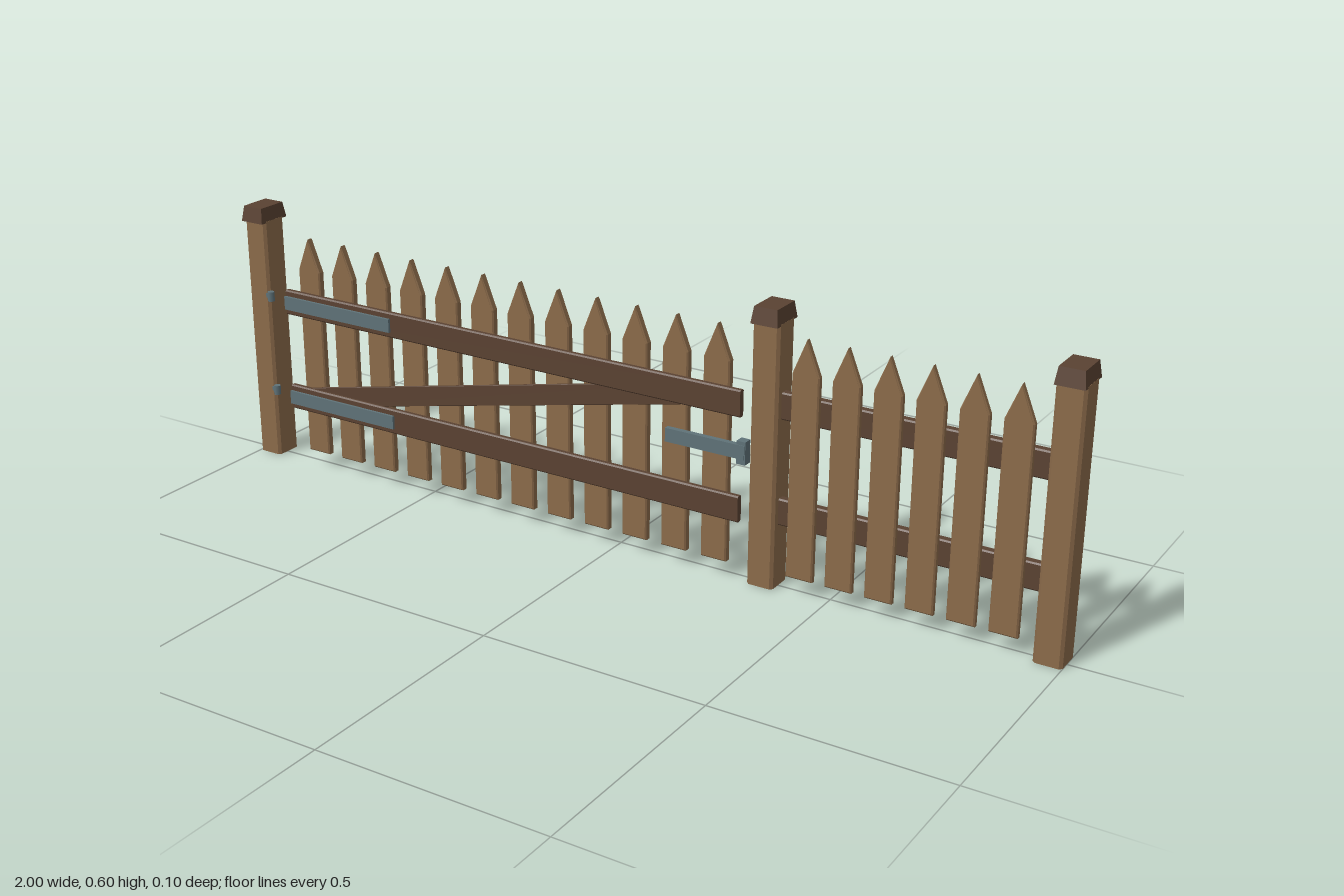
import * as THREE from 'three';

const mat = (name, color) => {
  const m = new THREE.MeshStandardMaterial({ color });
  m.name = name;
  return m;
};

export function createModel() {
  const lightWood = mat('light wood', 0x8b6b4a);
  const darkWood = mat('dark wood', 0x5a4232);
  const iron = mat('iron', 0x5f7278);
  const model = new THREE.Group();

  const add = (parent, name, geometry, material, x, y, z) => {
    const mesh = new THREE.Mesh(geometry, material);
    mesh.name = name;
    mesh.position.set(x, y, z);
    parent.add(mesh);
    return mesh;
  };
  const group = (name) => {
    const g = new THREE.Group();
    g.name = name;
    model.add(g);
    return g;
  };

  // Beam along z with chamfered long edges, centred on the origin
  const beam = (w, h, length, c) => {
    const a = w / 2, b = h / 2;
    const pts = [[a, -b + c], [a, b - c], [a - c, b], [-a + c, b],
      [-a, b - c], [-a, -b + c], [-a + c, -b], [a - c, -b]];
    const shape = new THREE.Shape(pts.map(([x, y]) => new THREE.Vector2(x, y)));
    return new THREE.ExtrudeGeometry(shape, { depth: length, bevelEnabled: false })
      .translate(0, 0, -length / 2);
  };

  // Pointed board with a slight chamfer, its back at z = 0
  const picketGeometry = (depth) => {
    const c = 0.003;
    const pts = [[-0.03, 0.037], [0.03, 0.037], [0.03, 0.477], [0, 0.551], [-0.03, 0.477]];
    const shape = new THREE.Shape(pts.map(([x, y]) => new THREE.Vector2(x, y)));
    return new THREE.ExtrudeGeometry(shape, {
      depth: depth - 2 * c, bevelThickness: c, bevelSize: c, bevelOffset: -c, bevelSegments: 1,
    }).translate(0, 0, c);
  };

  // Posts with overhanging tapered caps
  const postGeo = beam(0.06, 0.065, 0.57, 0.006).rotateX(-Math.PI / 2);
  const capGeo = new THREE.BoxGeometry(0.06, 0.035, 0.083);
  const p = capGeo.attributes.position;
  for (let i = 0; i < p.count; i++) {
    if (p.getY(i) > 0) {
      p.setX(i, p.getX(i) * 0.85);
      p.setZ(i, p.getZ(i) * 0.86);
    }
  }
  capGeo.computeVertexNormals();
  const posts = group('posts');
  for (const x of [-0.97, 0.35, 0.97]) {
    add(posts, 'post', postGeo, lightWood, x, 0.285, -0.0055);
    add(posts, 'postCap', capGeo, darkWood, x, 0.5845, -0.0055);
  }

  // Fixed fence panel
  const fence = group('fencePanel');
  const fencePicket = picketGeometry(0.015);
  for (let i = 0; i < 6; i++) add(fence, 'fencePicket', fencePicket, lightWood, 0.438 + i * 0.0878, 0, 0.009);
  const fenceRail = beam(0.02, 0.058, 0.58, 0.003).rotateY(Math.PI / 2);
  for (const y of [0.168, 0.397]) add(fence, 'fenceRail', fenceRail, darkWood, 0.66, y, -0.001);

  // Gate: pickets, rails and a diagonal brace
  const gate = group('gate');
  const gatePicket = picketGeometry(0.018);
  for (let i = 0; i < 12; i++) add(gate, 'gatePicket', gatePicket, lightWood, -0.813 + i * 0.096, 0, 0.013);
  const gateRail = beam(0.014, 0.058, 1.18, 0.003).rotateY(Math.PI / 2);
  const brace = beam(0.006, 0.046, 1.06, 0.001).rotateY(Math.PI / 2);
  add(gate, 'brace', brace, darkWood, -0.318, 0.283, 0.0335).rotation.z = 0.215;

  // Hinge straps on the rails, pintles on the hinge post
  const strap = new THREE.BoxGeometry(0.3, 0.031, 0.006);
  const arm = new THREE.BoxGeometry(0.014, 0.01, 0.012);
  const pin = new THREE.CylinderGeometry(0.008, 0.008, 0.022, 8);
  for (const y of [0.168, 0.397]) {
    add(gate, 'gateRail', gateRail, darkWood, -0.284, y, 0.037);
    add(gate, 'hingeStrap', strap, iron, -0.724, y, 0.047);
    add(posts, 'hingeArm', arm, iron, -0.94, y, 0.024);
    add(posts, 'hingePin', pin, iron, -0.932, y, 0.03);
  }

  // Latch bar and its keeper
  add(gate, 'latchBar', new THREE.BoxGeometry(0.184, 0.03, 0.012), iron, 0.228, 0.297, 0.043);
  add(gate, 'latchKeeper', new THREE.BoxGeometry(0.02, 0.05, 0.02), iron, 0.312, 0.295, 0.037);

  return model;
}
